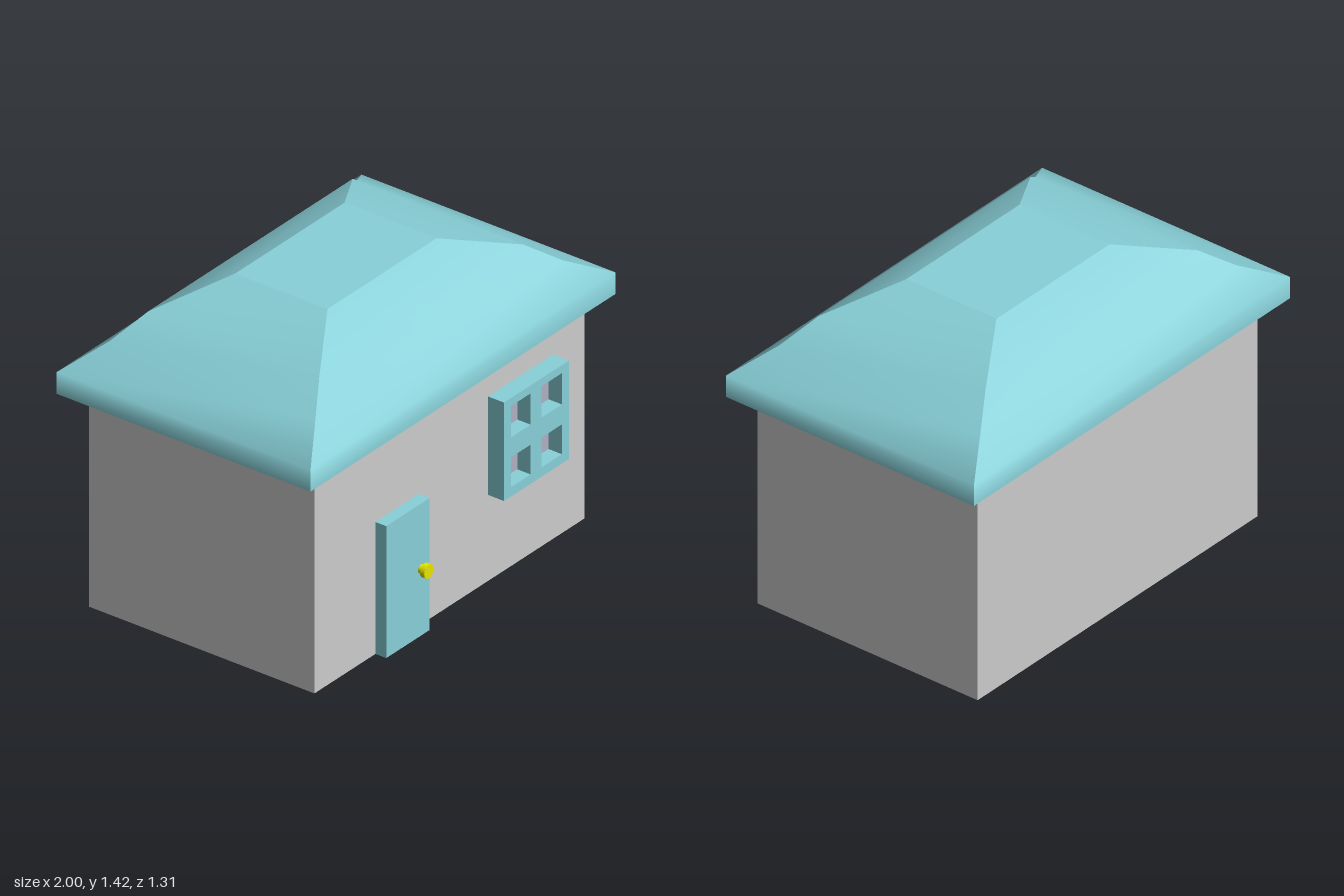
import * as THREE from 'three';

const grey = new THREE.MeshStandardMaterial({ color: 0xcccccc });
const teal = new THREE.MeshStandardMaterial({ color: 0x88d0d8 });
const glass = new THREE.MeshStandardMaterial({ color: 0xb0b0c4 });
const yellow = new THREE.MeshStandardMaterial({ color: 0xe6e600 });

function add(parent, name, geometry, material, x = 0, y = 0, z = 0) {
  const mesh = new THREE.Mesh(geometry, material);
  mesh.name = name;
  mesh.position.set(x, y, z);
  parent.add(mesh);
  return mesh;
}

// Box given by its minimum and maximum corners
function addBox(parent, name, material, [x0, y0, z0], [x1, y1, z1]) {
  const geometry = new THREE.BoxGeometry(x1 - x0, y1 - y0, z1 - z0);
  return add(parent, name, geometry, material, (x0 + x1) / 2, (y0 + y1) / 2, (z0 + z1) / 2);
}

// Hipped roof from stacked rectangles: smooth up each side, sharp at the hips
function roofGeometry(rings) {
  const positions = [], index = [];
  const corners = [[-1, 1], [1, 1], [1, -1], [-1, -1]];
  const put = ([hx, y, hz], [sx, sz]) => positions.push(sx * hx, y, sz * hz) / 3 - 1;
  for (let side = 0; side < 4; side++) {
    const start = positions.length / 3;
    for (const ring of rings) {
      put(ring, corners[side]);
      put(ring, corners[(side + 1) % 4]);
    }
    for (let r = 0; r < rings.length - 1; r++) {
      const a = start + r * 2;
      index.push(a, a + 1, a + 3, a, a + 3, a + 2);
    }
  }
  // Flat top and underside
  const top = positions.length / 3;
  corners.forEach((c) => put(rings[rings.length - 1], c));
  corners.forEach((c) => put(rings[0], c));
  index.push(top, top + 1, top + 2, top, top + 2, top + 3);
  index.push(top + 4, top + 6, top + 5, top + 4, top + 7, top + 6);
  const geometry = new THREE.BufferGeometry();
  geometry.setAttribute('position', new THREE.Float32BufferAttribute(positions, 3));
  geometry.setIndex(index);
  geometry.computeVertexNormals();
  return geometry;
}

function rectangle(path, x0, y0, x1, y1) {
  path.moveTo(x0, y0).lineTo(x1, y0).lineTo(x1, y1).lineTo(x0, y1).closePath();
  return path;
}

export function createModel() {
  const house = new THREE.Group();
  house.name = 'house';

  addBox(house, 'walls', grey, [-0.885, 0, -0.58], [0.885, 1.01, 0.56]);

  // Rings: half width, height, half depth
  const rings = [
    [1, 1.01, 0.642], [1, 1.11, 0.642], [0.81, 1.21, 0.52],
    [0.67, 1.315, 0.432], [0.358, 1.417, 0.233],
  ];
  add(house, 'roof', roofGeometry(rings), teal, 0, 0, -0.013);

  // Door with a round knob
  const door = new THREE.Group();
  door.name = 'door';
  house.add(door);
  addBox(door, 'doorPanel', teal, [-0.485, 0, 0.54], [-0.2, 0.61, 0.615]);
  const shaft = new THREE.CylinderGeometry(0.02, 0.02, 0.03, 20).rotateX(Math.PI / 2);
  const knob = new THREE.CylinderGeometry(0.031, 0.031, 0.022, 24).rotateX(Math.PI / 2);
  add(door, 'knobShaft', shaft, yellow, -0.257, 0.31, 0.622);
  add(door, 'knob', knob, yellow, -0.257, 0.31, 0.644);

  // Window frame with four recessed panes
  const windowGroup = new THREE.Group();
  windowGroup.name = 'window';
  house.add(windowGroup);
  const frame = rectangle(new THREE.Shape(), 0.255, 0.397, 0.68, 0.852);
  for (const [x0, x1] of [[0.3, 0.43], [0.5, 0.635]]) {
    for (const [y0, y1] of [[0.44, 0.578], [0.67, 0.815]]) {
      frame.holes.push(rectangle(new THREE.Path(), x0, y0, x1, y1));
      addBox(windowGroup, 'pane', glass, [x0, y0, 0.55], [x1, y1, 0.572]);
    }
  }
  const frameGeometry = new THREE.ExtrudeGeometry(frame, { depth: 0.082, bevelEnabled: false });
  add(windowGroup, 'windowFrame', frameGeometry, teal, 0, 0, 0.558);

  return house;
}
